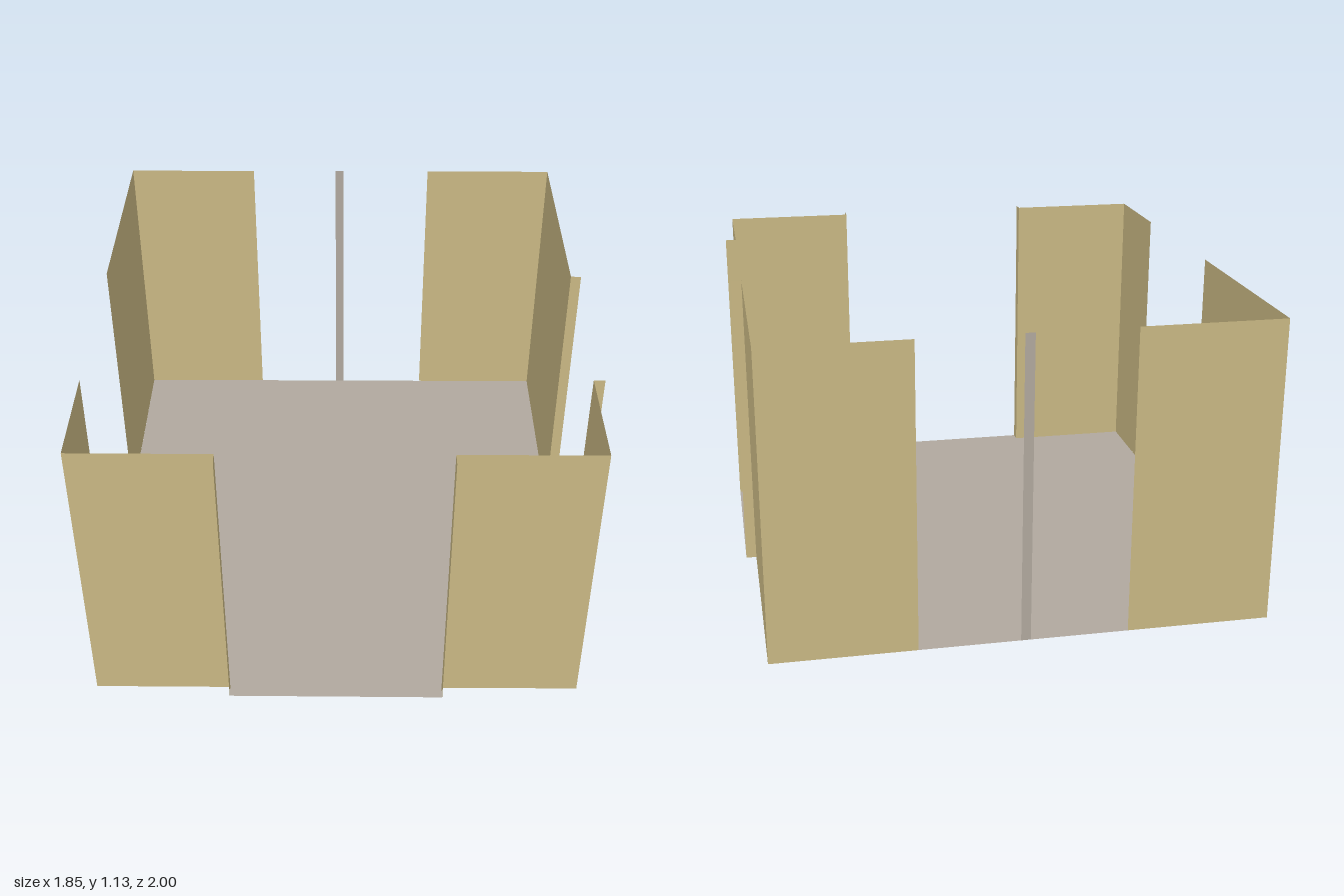
import * as THREE from 'three';

const HEIGHT = 1.13;

export function createModel() {
  const model = new THREE.Group();
  model.name = 'openRoom';
  const wallMat = new THREE.MeshStandardMaterial({ name: 'sand wall', color: 0xc8b783, side: THREE.DoubleSide });
  const floorMat = new THREE.MeshStandardMaterial({ name: 'warm grey floor', color: 0xb0a89e, side: THREE.DoubleSide });

  // upright sheet standing on the line between two [x, z] plan points
  function panel(name, [x0, z0], [x1, z1], material) {
    const mesh = new THREE.Mesh(new THREE.PlaneGeometry(Math.hypot(x1 - x0, z1 - z0), HEIGHT), material);
    mesh.position.set((x0 + x1) / 2, HEIGHT / 2, (z0 + z1) / 2);
    mesh.rotation.y = -Math.atan2(z1 - z0, x1 - x0);
    mesh.name = name;
    return mesh;
  }

  // floor sheet, with shallow bays at the front and left openings
  const outline = [
    [-0.905, -1], [0.895, -0.98], [0.885, -0.13], [0.924, -0.128],
    [0.916, 0.547], [0.875, 0.546], [0.872, 0.959], [0.367, 0.953],
    [0.367, 1], [-0.425, 0.988], [-0.425, 0.945], [-0.925, 0.938],
  ];
  const shape = new THREE.Shape(outline.map(([x, z]) => new THREE.Vector2(x, -z)));
  const floor = new THREE.Mesh(new THREE.ShapeGeometry(shape).rotateX(-Math.PI / 2), floorMat);
  floor.name = 'floor';
  model.add(floor);

  // corner walls, each following a plan path and returning outward at the bays
  const corners = {
    frontLeftWall: [[0.916, 0.547], [0.875, 0.546], [0.872, 0.959], [0.367, 0.953], [0.367, 1]],
    frontRightWall: [[-0.425, 0.988], [-0.425, 0.945], [-0.925, 0.938], [-0.921, 0.535]],
    backRightWall: [[-0.914, -0.16], [-0.905, -1], [-0.38, -0.994]],
    backLeftWall: [[0.375, -0.986], [0.895, -0.98], [0.885, -0.13], [0.924, -0.128]],
  };
  for (const [name, path] of Object.entries(corners)) {
    const group = new THREE.Group();
    group.name = name;
    for (let i = 0; i + 1 < path.length; i++) {
      group.add(panel('wallPanel', path[i], path[i + 1], wallMat));
    }
    model.add(group);
  }

  // narrow flat post dividing the back opening
  model.add(panel('windowPost', [-0.025, -0.99], [0.01, -0.99], floorMat));
  return model;
}
